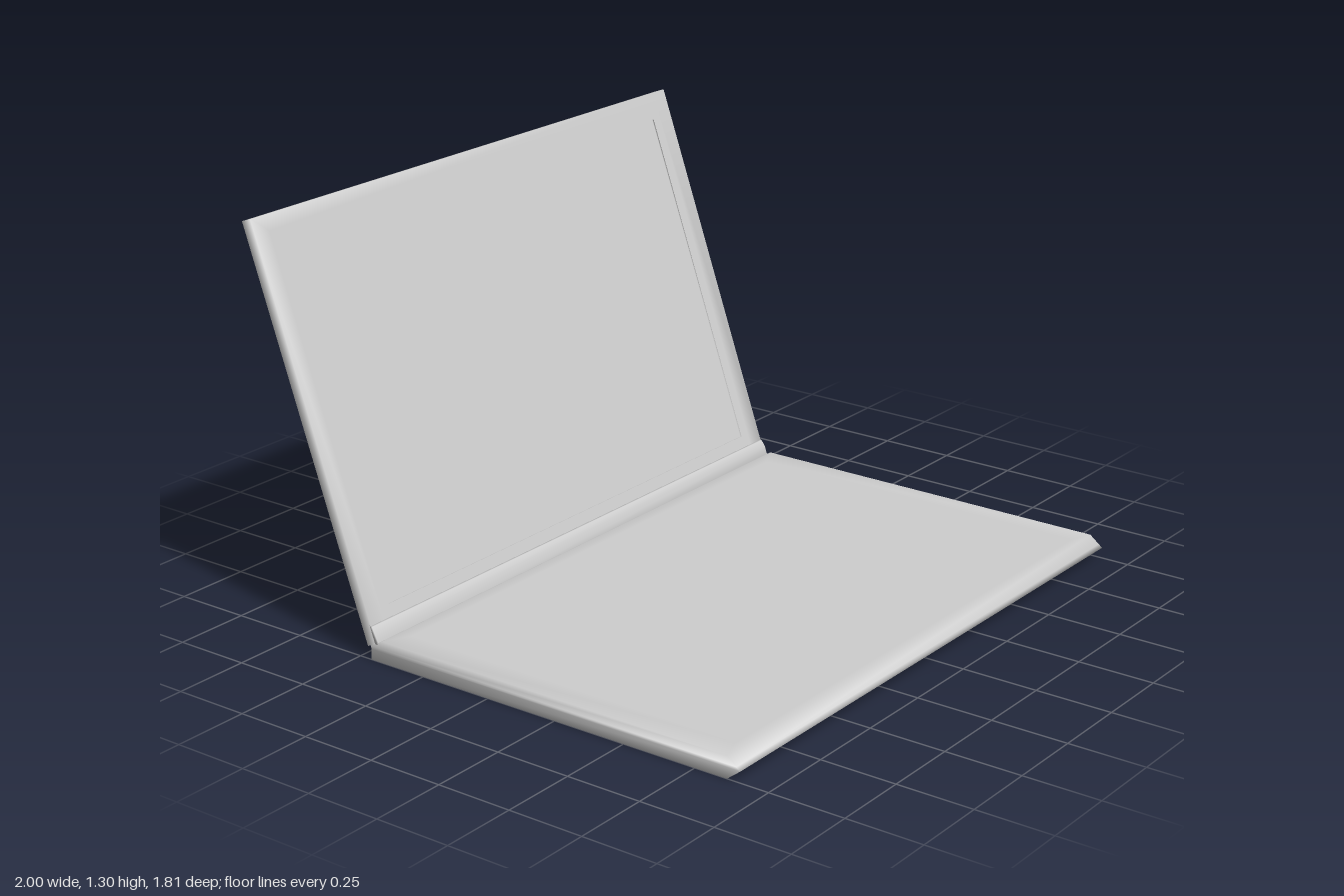
import * as THREE from 'three';

const grey = new THREE.MeshStandardMaterial({ color: 0xcccccc });

// Lofts rectangles [halfWidth, y0, y1, z] along z with smooth shared normals
function rectLoft(name, rings, capStart = true, capEnd = true) {
  const pos = [], idx = [];
  for (const [w, y0, y1, z] of rings) pos.push(-w, y0, z, w, y0, z, w, y1, z, -w, y1, z);
  for (let r = 0; r < rings.length - 1; r++) {
    for (let i = 0; i < 4; i++) {
      const a = r * 4 + i, b = r * 4 + (i + 1) % 4;
      idx.push(a, b, b + 4, a, b + 4, a + 4);
    }
  }
  if (capStart) idx.push(0, 2, 1, 0, 3, 2);
  const e = (rings.length - 1) * 4;
  if (capEnd) idx.push(e, e + 1, e + 2, e, e + 2, e + 3);
  const geo = new THREE.BufferGeometry();
  geo.setAttribute('position', new THREE.Float32BufferAttribute(pos, 3));
  geo.setIndex(idx);
  geo.computeVertexNormals();
  const mesh = new THREE.Mesh(geo, grey);
  mesh.name = name;
  return mesh;
}

export function createModel() {
  const group = new THREE.Group();
  group.name = 'laptop';

  // Base slab: lofted upward, with a pointed front edge and chamfered back edge
  const base = rectLoft('base', [
    [0.92, -0.80, 0.39, 0],
    [1, -0.86, 0.455, 0],
    [1, -0.905, 0.455, 0.035],
    [1, -0.892, 0.455, 0.045],
    [1, -0.86, 0.41, 0.07],
    [0.92, -0.83, 0.37, 0.07],
  ]);
  base.rotation.x = -Math.PI / 2;
  group.add(base);

  // Lid, leaning back from its lower rear edge
  const lid = new THREE.Group();
  lid.name = 'lid';
  lid.position.set(0, 0.041, -0.468);
  lid.rotation.x = -0.339;
  group.add(lid);

  const T = 0.036, H = 1.319;
  const sx = 0.905, sy0 = 0.098, sy1 = 1.232;

  // Back shell and bezel, open where the screen sits
  lid.add(rectLoft('lidShell', [
    [0.93, 0.06, H - 0.07, 0],
    [1, 0, H, 0],
    [1, 0, H, T],
    [0.94, 0.06, H - 0.05, T],
    [sx, sy0, sy1, T],
  ], true, false));

  // Shallow recessed screen
  lid.add(rectLoft('screen', [
    [sx, sy0, sy1, T],
    [sx, sy0, sy1, T - 0.006],
  ], false, true));

  // Hinge lip along the bottom of the bezel
  lid.add(rectLoft('hingeLip', [
    [1, 0.002, 0.062, T - 0.004],
    [1, 0, 0.056, T + 0.004],
    [1, 0, 0.036, T + 0.011],
  ]));

  return group;
}
